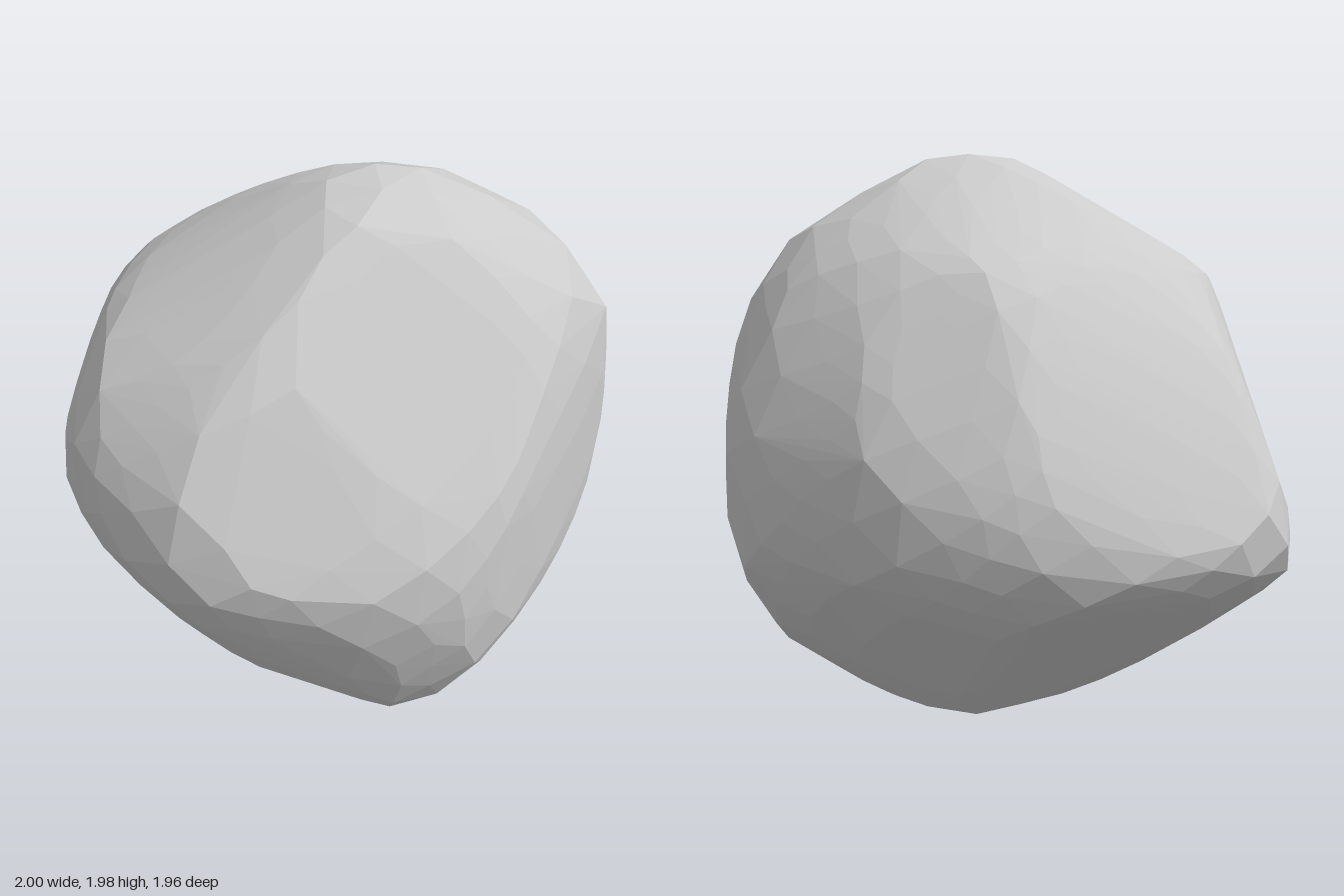
import * as THREE from 'three';
import { ConvexGeometry } from 'three/addons/geometries/ConvexGeometry.js';

const V = (x, y, z) => new THREE.Vector3(x, y, z);
const WEAR = 0.055;      // reach of the edge rounding, in radians
const ALLOWANCE = 0.009; // material left on for the rounding to take away

// Outlines the boulder is cut to: turn and tilt in degrees, then control points around the middle
const cuts = [
  { turn: 0, tilt: 0, outline: [0.12, 0.97, 0.6, 0.7, 0.95, 0.1, 0.97, -0.35, 0.4, -0.95, -0.25, -0.94, -0.8, -0.38, -1, 0.1, -0.4, 0.8] },
  { turn: -90, tilt: 0, outline: [0.33, 0.97, 0.8, 0.72, 0.98, 0.15, 0.98, -0.5, 0.72, -0.95, 0.1, -0.98, -0.65, -0.62, -0.95, -0.38, -1, -0.12, -0.75, 0.35, -0.1, 0.86] },
  { turn: 0, tilt: -90, outline: [0.12, -0.99, 0.6, -0.7, 0.95, -0.18, 0.97, 0.5, 0.75, 0.85, 0.15, 0.98, -0.4, 0.95, -0.85, 0.6, -1, 0.15, -0.65, -0.5] },
  { turn: 45, tilt: 30, outline: [-1.02, -0.05, -0.83, 0.52, -0.2, 0.78, 0.3, 0.66, 0.79, 0.09, 0.92, -0.3, 0.54, -0.8, -0.1, -1.11, -0.68, -0.95] },
  { turn: -135, tilt: 30, outline: [-0.93, -0.2, -0.71, 0.41, -0.11, 1.02, 0.34, 0.97, 0.83, 0.37, 1.02, -0.08, 0.71, -0.61, -0.09, -0.82, -0.75, -0.59] },
  { turn: 135, tilt: -30, outline: [-1.12, 0, -0.85, 0.56, -0.28, 0.79, 0.48, 0.56, 0.69, 0.19, 0.8, -0.14, 0.72, -0.33, 0.1, -0.96, -0.26, -1.12, -0.93, -0.55] },
];

// Each step along a smoothed outline gives a cutting plane: normal n at distance h from the middle
function cuttingPlanes() {
  const planes = [
    { n: V(-0.6, 0.45, 0.66), h: 0.89 },    // front facet, outer half
    { n: V(-0.42, 0.55, 0.72), h: 0.87 },   // front facet, inner half
    { n: V(0.33, -0.785, -0.52), h: 0.85 }, // underside towards the back
    { n: V(0.67, -0.71, -0.21), h: 0.93 },  // underside towards the side
  ];
  for (const { turn, tilt, outline } of cuts) {
    const a = THREE.MathUtils.degToRad(turn), e = THREE.MathUtils.degToRad(tilt);
    const across = V(Math.cos(a), 0, -Math.sin(a));
    const up = V(-Math.sin(e) * Math.sin(a), Math.cos(e), -Math.sin(e) * Math.cos(a));
    const corners = [];
    for (let i = 0; i < outline.length; i += 2) corners.push(V(outline[i], outline[i + 1], 0));
    const path = new THREE.CatmullRomCurve3(corners, true).getSpacedPoints(32);
    for (let i = 0; i < 32; i++) {
      const p = path[i], step = path[i + 1].clone().sub(p).normalize();
      const h = step.y * p.x - step.x * p.y;
      const n = across.clone().multiplyScalar(step.y).addScaledVector(up, -step.x);
      planes.push({ n: n.multiplyScalar(Math.sign(h)), h: Math.abs(h) + ALLOWANCE });
    }
  }
  return planes;
}

function boulderGeometry(count) {
  const planes = cuttingPlanes();
  // Point where a ray from the middle meets the nearest cutting plane
  const surface = (dir) => {
    const d = dir.clone().normalize();
    let r = 2;
    for (const { n, h } of planes) {
      const k = n.dot(d);
      if (k > 0.01) r = Math.min(r, h / k);
    }
    return d.multiplyScalar(r);
  };
  const points = [];
  for (let i = 0; i < count; i++) {
    // Evenly spread directions, with a slight wobble for irregular facets
    const y = 1 - (2 * i + 1) / count, w = Math.sqrt(1 - y * y);
    const a = i * 2.39996 + 0.06 * Math.sin(i * 12.9);
    const d = V(w * Math.cos(a), y, w * Math.sin(a));
    // Averaging nearby surface points wears the edges round
    const t = V(-d.z, 0, d.x).normalize(), b = d.clone().cross(t);
    const sum = surface(d).multiplyScalar(2);
    for (let k = 0; k < 6; k++) {
      const f = (k * Math.PI) / 3;
      sum.add(surface(d.clone().addScaledVector(t, WEAR * Math.cos(f)).addScaledVector(b, WEAR * Math.sin(f))));
    }
    points.push(sum.divideScalar(8));
  }
  return new ConvexGeometry(points);
}

export function createModel() {
  const group = new THREE.Group();
  group.name = 'rock';
  const geometry = boulderGeometry(560);
  geometry.computeBoundingBox();
  const material = new THREE.MeshStandardMaterial({ color: 0xcccccc, flatShading: true });
  const boulder = new THREE.Mesh(geometry, material);
  boulder.name = 'boulder';
  boulder.position.y = -geometry.boundingBox.min.y; // rest on the ground
  group.add(boulder);
  return group;
}
